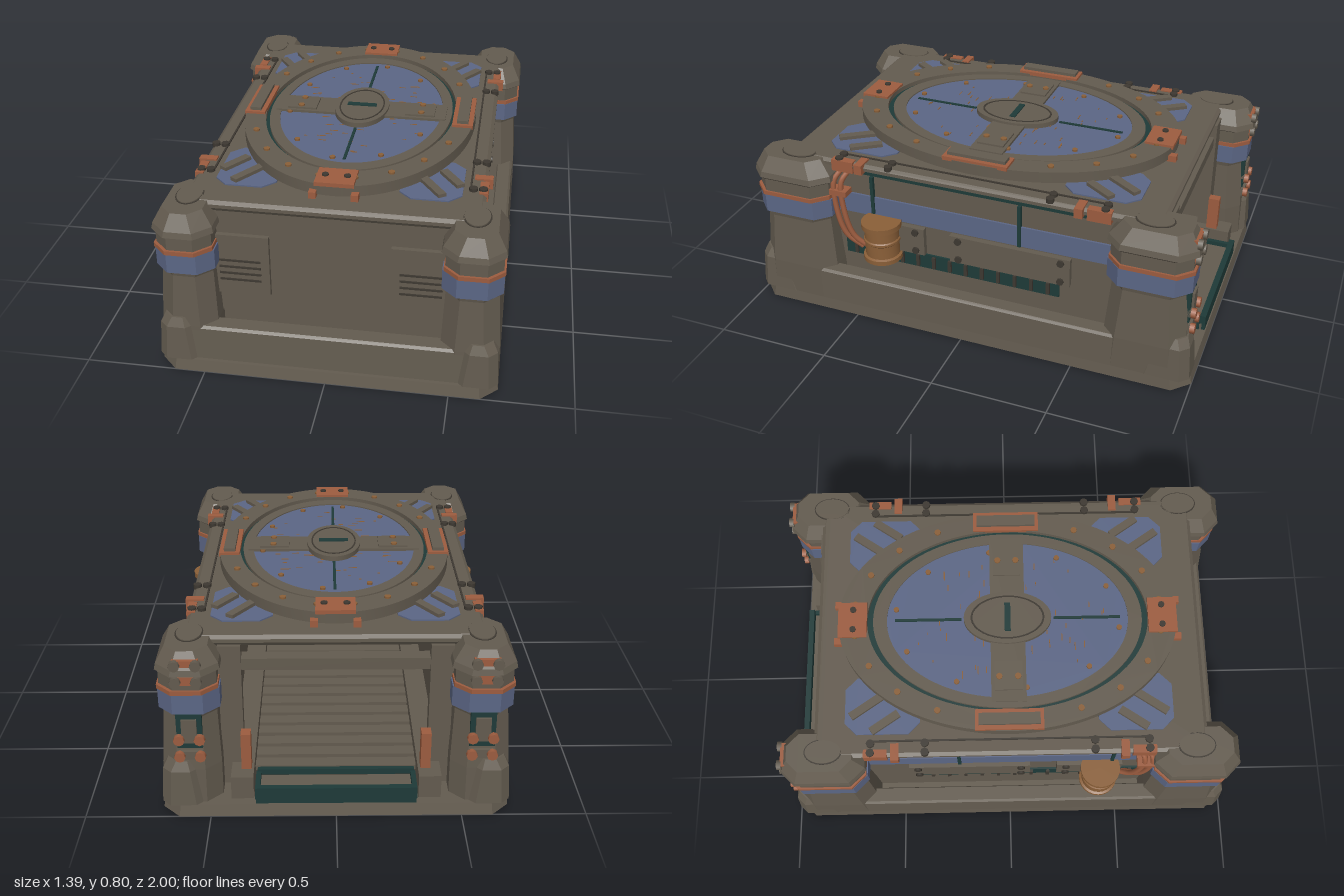
import * as THREE from 'three';
import { toCreasedNormals } from 'three/addons/utils/BufferGeometryUtils.js';

const mat = (name, color) => Object.assign(new THREE.MeshStandardMaterial({ color }), { name });
const M = {
  body: mat('brown grey metal', 0x635b4f),
  blue: mat('faded blue paint', 0x5b6685),
  copper: mat('copper', 0x9c5c3f),
  rust: mat('rust', 0x8a5f38),
  teal: mat('dark teal rubber', 0x1e3a38),
  dark: mat('dark steel', 0x3d3831),
};
const SIDES = [-1, 1];

export function createModel() {
  const root = new THREE.Group();
  root.name = 'armouredContainer';

  function add(name, m, geo, x = 0, y = 0, z = 0, parent = root) {
    const mesh = new THREE.Mesh(geo, m);
    mesh.name = name;
    mesh.position.set(x, y, z);
    parent.add(mesh);
    return mesh;
  }
  // box given by its limits
  function box(name, m, x0, x1, y0, y1, z0, z1) {
    const g = new THREE.BoxGeometry(Math.abs(x1 - x0), y1 - y0, Math.abs(z1 - z0));
    return add(name, m, g, (x0 + x1) / 2, (y0 + y1) / 2, (z0 + z1) / 2);
  }
  // stack of chamfered rectangles: [y, x0, x1, z0, z1, chamfer], mirrored by sx, sz
  function loft(name, m, sections, sx = 1, sz = 1) {
    const pos = [], idx = [], n = 8;
    for (const [y, xa, xb, za, zb, c] of sections) {
      const x0 = Math.min(xa * sx, xb * sx), x1 = Math.max(xa * sx, xb * sx);
      const z0 = Math.min(za * sz, zb * sz), z1 = Math.max(za * sz, zb * sz);
      for (const [x, z] of [[x1, z0 + c], [x1, z1 - c], [x1 - c, z1], [x0 + c, z1],
        [x0, z1 - c], [x0, z0 + c], [x0 + c, z0], [x1 - c, z0]]) pos.push(x, y, z);
    }
    const last = (sections.length - 1) * n;
    for (let s = 0; s < last; s += n)
      for (let i = 0; i < n; i++) {
        const j = (i + 1) % n;
        idx.push(s + i, s + n + i, s + j, s + j, s + n + i, s + n + j);
      }
    for (let i = 1; i < n - 1; i++) idx.push(0, i, i + 1, last, last + i + 1, last + i);
    const g = new THREE.BufferGeometry();
    g.setAttribute('position', new THREE.Float32BufferAttribute(pos, 3));
    g.setIndex(idx);
    const flat = g.toNonIndexed();
    flat.computeVertexNormals();
    return add(name, m, flat);
  }
  // upright oval plate, with an optional oval hole
  function oval(name, m, rx, rz, y0, y1, hole, x = 0, z = 0) {
    const s = new THREE.Shape().absellipse(0, 0, rx, rz, 0, Math.PI * 2);
    if (hole) s.holes.push(new THREE.Path().absellipse(0, 0, hole[0], hole[1], 0, Math.PI * 2));
    const g = new THREE.ExtrudeGeometry(s, { depth: y1 - y0, bevelEnabled: false, curveSegments: 48 });
    g.rotateX(-Math.PI / 2);
    return add(name, m, toCreasedNormals(g, 0.6), x, y0, z);
  }
  const bolt = (m, x, y, z, r = 0.014, h = 0.012) =>
    add('bolt', m, new THREE.CylinderGeometry(r, r, h, 8), x, y, z);
  function sideBolt(m, x, y, z, r = 0.014, axis = 'x') {
    const b = bolt(m, x, y, z, r, 0.02);
    if (axis === 'x') b.rotation.z = Math.PI / 2; else b.rotation.x = Math.PI / 2;
  }

  // base slab and rails
  loft('baseSlab', M.body, [[0, -0.695, 0.695, -1, 1, 0.07], [0.05, -0.69, 0.69, -0.99, 0.99, 0.07]]);
  loft('frontRail', M.body, [[0.05, -0.6, 0.6, 0.88, 0.975, 0.01], [0.19, -0.6, 0.6, 0.88, 0.965, 0.01], [0.2, -0.6, 0.6, 0.89, 0.955, 0.01]]);
  box('frontTrough', M.teal, -0.45, 0.45, 0.05, 0.07, 0.82, 0.88);
  for (const s of SIDES) {
    loft('sideRail', M.body, [[0.05, 0.61, 0.69, -0.85, 0.85, 0.01], [0.19, 0.61, 0.685, -0.85, 0.85, 0.01], [0.2, 0.615, 0.675, -0.85, 0.85, 0.01]], s);
  }

  // body shell, open at the back
  box('frontWall', M.body, -0.56, 0.56, 0.2, 0.69, 0.76, 0.83);
  box('frontSkirt', M.body, -0.56, 0.56, 0.05, 0.2, 0.76, 0.815);
  for (const s of SIDES) box('sideWall', M.body, s * 0.42, s * 0.555, 0.05, 0.69, -0.8, 0.76);
  loft('roof', M.body, [[0.675, -0.57, 0.57, -0.82, 0.83, 0.02], [0.69, -0.595, 0.595, -0.83, 0.84, 0.02],
    [0.705, -0.595, 0.595, -0.83, 0.84, 0.02], [0.717, -0.58, 0.58, -0.815, 0.825, 0.02]]);
  oval('hatchUnderside', M.blue, 0.34, 0.5, 0.667, 0.675);

  // front louvre panels
  for (const s of SIDES) {
    box('louvrePanel', M.body, s * 0.245, s * 0.495, 0.3, 0.575, 0.83, 0.85);
    for (let i = 0; i < 4; i++)
      box('louvreSlot', M.dark, s * 0.28, s * 0.45, 0.365 + i * 0.03, 0.373 + i * 0.03, 0.85, 0.855);
  }

  // cargo bay floor, sill and back opening
  box('bayFloor', M.dark, -0.42, 0.42, 0.05, 0.085, -0.83, 0.76);
  for (let z = -0.8; z < 0.74; z += 0.085) box('floorSlat', M.body, -0.33, 0.33, 0.085, 0.105, z, z + 0.06);
  box('backSillFloor', M.body, -0.32, 0.32, 0.05, 0.08, -0.97, -0.83);
  box('backSill', M.teal, -0.32, 0.32, 0.05, 0.12, -0.985, -0.96);
  box('sillStrip', M.teal, -0.32, 0.32, 0.085, 0.11, -0.835, -0.815);
  box('backBeam', M.body, -0.46, 0.46, 0.57, 0.62, -0.83, -0.77);
  for (const s of SIDES) {
    box('floorCurb', M.body, s * 0.33, s * 0.42, 0.05, 0.15, -0.95, 0.76);
    box('sillStrip', M.teal, s * 0.305, s * 0.325, 0.05, 0.1, -0.96, -0.83);
    box('backJamb', M.body, s * 0.37, s * 0.46, 0.05, 0.68, -0.84, -0.79);
    box('doorLatch', M.copper, s * 0.34, s * 0.38, 0.15, 0.31, -0.89, -0.84);
  }

  // corner posts
  for (const sx of SIDES) for (const sz of SIDES) {
    loft('postLower', M.body, [[0.05, 0.455, 0.69, 0.61, 0.97, 0.06], [0.2, 0.455, 0.69, 0.62, 0.965, 0.06],
      [0.43, 0.465, 0.675, 0.64, 0.95, 0.06], [0.455, 0.46, 0.68, 0.635, 0.955, 0.06]], sx, sz);
    loft('postFoot', M.body, [[0.05, 0.52, 0.693, 0.78, 0.995, 0.035], [0.2, 0.54, 0.685, 0.82, 0.985, 0.035],
      [0.24, 0.55, 0.665, 0.83, 0.97, 0.035]], sx, sz);
    loft('postBand', M.blue, [[0.455, 0.45, 0.69, 0.62, 0.97, 0.06], [0.54, 0.45, 0.69, 0.62, 0.97, 0.06]], sx, sz);
    loft('postRing', M.copper, [[0.54, 0.455, 0.693, 0.625, 0.975, 0.06], [0.558, 0.455, 0.693, 0.625, 0.975, 0.06]], sx, sz);
    loft('postCap', M.body, [[0.558, 0.46, 0.685, 0.63, 0.965, 0.06], [0.615, 0.46, 0.685, 0.63, 0.965, 0.06],
      [0.625, 0.445, 0.695, 0.615, 0.985, 0.065], [0.65, 0.45, 0.69, 0.62, 0.98, 0.065],
      [0.715, 0.49, 0.655, 0.67, 0.945, 0.05]], sx, sz);
    oval('postCapSeam', M.dark, 0.055, 0.08, 0.713, 0.717, null, sx * 0.57, sz * 0.79);
    oval('postCapDisc', M.body, 0.05, 0.075, 0.713, 0.721, null, sx * 0.57, sz * 0.79);
  }

  // fittings on the back posts
  for (const s of SIDES) {
    const x = s * 0.57;
    box('backPlate', M.teal, x - 0.05, x + 0.05, 0.3, 0.45, -0.965, -0.94);
    box('backPlateLid', M.body, x - 0.03, x + 0.03, 0.33, 0.43, -0.975, -0.96);
    for (const y of [0.27, 0.345, 0.6, 0.67]) {
      box('backBracket', y > 0.5 ? M.copper : M.body, x - 0.05, x + 0.05, y - 0.018, y + 0.018, -0.975, -0.92);
      for (const d of SIDES) sideBolt(y > 0.5 ? M.body : M.copper, x + d * 0.04, y, -0.98, 0.022, 'z');
    }
  }

  // side wall details
  for (const s of SIDES) {
    const plate = (name, m, y0, y1, z0, z1, t = 0.009, from = 0.555) =>
      box(name, m, s * from, s * (from + t), y0, y1, z0, z1);
    plate('sideStripe', M.blue, 0.455, 0.55, -0.63, 0.63);
    plate('sideSeam', M.teal, 0.455, 0.65, -0.23, -0.215, 0.016);
    plate('sideSeam', M.teal, 0.47, 0.65, 0.445, 0.46, 0.016);
    plate('roofSeal', M.teal, 0.655, 0.675, -0.6, 0.62);
    for (const [z0, z1] of [[-0.45, 0.09], [0.21, 0.5]]) {
      plate('sidePanel', M.body, 0.315, 0.445, z0, z1, 0.025);
      for (const z of [z0 + 0.04, z1 - 0.04]) for (const y of [0.335, 0.425])
        sideBolt(M.dark, s * 0.58, y, z, 0.016);
    }
    plate('sideGrille', M.teal, 0.24, 0.31, -0.4, 0.6);
    for (let z = -0.36; z < 0.58; z += 0.075) plate('grilleRib', M.dark, 0.25, 0.305, z, z + 0.015, 0.02);

    // drum
    const drum = [[0, 0], [0.085, 0], [0.085, 0.02], [0.075, 0.025], [0.075, 0.085], [0.08, 0.09], [0.08, 0.1],
      [0.075, 0.105], [0.075, 0.15], [0.087, 0.155], [0.087, 0.18], [0, 0.18]].map(p => new THREE.Vector2(...p));
    add('drum', M.rust, toCreasedNormals(new THREE.LatheGeometry(drum, 24), 0.6), s * 0.6, 0.285, 0.4);
    // pipes
    for (const d of [0, 0.035]) {
      const path = new THREE.CatmullRomCurve3([[0.57, 0.66, 0.57], [0.6, 0.62, 0.59], [0.61, 0.5, 0.585],
        [0.6, 0.36, 0.55], [0.57, 0.29, 0.49]].map(([x, y, z]) => new THREE.Vector3(s * x, y, z + d - 0.01)));
      add('pipe', M.copper, new THREE.TubeGeometry(path, 24, 0.012, 8));
    }
    box('pipeClamp', M.copper, s * 0.57, s * 0.625, 0.56, 0.585, 0.55, 0.63);

    // roof edge clamps and bolts
    for (const t of SIDES) {
      box('edgeClamp', M.copper, s * 0.54, s * 0.615, 0.68, 0.724, t * 0.47, t * 0.505);
      box('edgeClamp', M.copper, s * 0.565, s * 0.6, 0.67, 0.722, t * 0.52, t * 0.62);
      for (const z of [0.36, 0.59]) for (const x of [0.54, 0.58]) bolt(M.dark, s * x, 0.72, t * z, 0.018, 0.02);
    }
    box('roofRib', M.dark, s * 0.525, s * 0.533, 0.715, 0.722, -0.6, 0.6);
  }

  // blue roof corners with diagonal ribs
  for (const sx of SIDES) for (const sz of SIDES) {
    loft('roofCorner', M.blue, [[0.715, 0.25, 0.5, 0.38, 0.7, 0.05], [0.723, 0.25, 0.5, 0.38, 0.7, 0.05]], sx, sz);
    for (const [x, z, l] of [[0.375, 0.605, 0.17], [0.45, 0.53, 0.14]]) {
      const rib = add('diagonalRib', M.body, new THREE.BoxGeometry(0.035, 0.016, l), sx * x, 0.73, sz * z);
      rib.rotation.y = sx * sz * 0.6;
    }
  }

  // oval hatch
  oval('hatchRing', M.body, 0.51, 0.735, 0.725, 0.772, [0.42, 0.61]);
  oval('hatchRingFoot', M.body, 0.5, 0.72, 0.712, 0.727, [0.42, 0.61]);
  oval('hatchSeal', M.teal, 0.425, 0.615, 0.715, 0.752, [0.4, 0.58]);
  oval('hatchRim', M.body, 0.405, 0.585, 0.715, 0.765, [0.36, 0.525]);
  oval('hatchLid', M.blue, 0.365, 0.53, 0.715, 0.76);
  box('hatchBar', M.body, -0.38, 0.38, 0.755, 0.771, -0.075, 0.075);
  oval('hatchHub', M.body, 0.12, 0.19, 0.755, 0.782);
  oval('hatchHubSeam', M.dark, 0.1, 0.16, 0.78, 0.784, [0.094, 0.152]);
  box('hubSlot', M.teal, -0.065, 0.065, 0.78, 0.787, -0.013, 0.013);
  for (const s of SIDES) {
    box('lidSeam', M.teal, -0.006, 0.006, 0.758, 0.765, s * 0.2, s * 0.49);
    box('barPad', M.body, s * 0.2, s * 0.33, 0.77, 0.779, -0.06, 0.06);
    for (const z of [-0.04, 0.04]) bolt(M.rust, s * 0.27, 0.78, z);
    // end clamps
    box('endClamp', M.copper, -0.08, 0.08, 0.765, 0.782, s * 0.61, s * 0.735);
    for (const x of SIDES) {
      box('clampLeg', M.copper, x * 0.07, x * 0.1, 0.715, 0.745, s * 0.7, s * 0.755);
      bolt(M.dark, x * 0.045, 0.783, s * 0.67);
    }
    // side handles
    box('sideHandle', M.copper, s * 0.415, s * 0.505, 0.765, 0.783, -0.145, 0.145);
    box('handleGrip', M.body, s * 0.435, s * 0.485, 0.78, 0.797, -0.13, 0.13);
  }
  for (let i = 0; i < 20; i++) {
    const a = (i + 0.5) / 20 * Math.PI * 2;
    if (Math.abs(Math.cos(a)) < 0.96) bolt(M.rust, Math.cos(a) * 0.465, 0.774, Math.sin(a) * 0.67);
    if (i % 2) bolt(M.rust, Math.cos(a) * 0.32, 0.763, Math.sin(a) * 0.49, 0.012);
  }

  // rust flecks on the lid paint
  let seed = 7;
  const rnd = () => (seed = (seed * 16807) % 2147483647) / 2147483647;
  for (let i = 0; i < 50; i++) {
    const a = rnd() * Math.PI * 2, r = 0.3 + rnd() * 0.6, l = 0.01 + rnd() * 0.03;
    add('rustFleck', M.rust, new THREE.BoxGeometry(l, 0.002, 0.004), Math.cos(a) * r * 0.34, 0.761, Math.sin(a) * r * 0.5);
  }
  return root;
}
